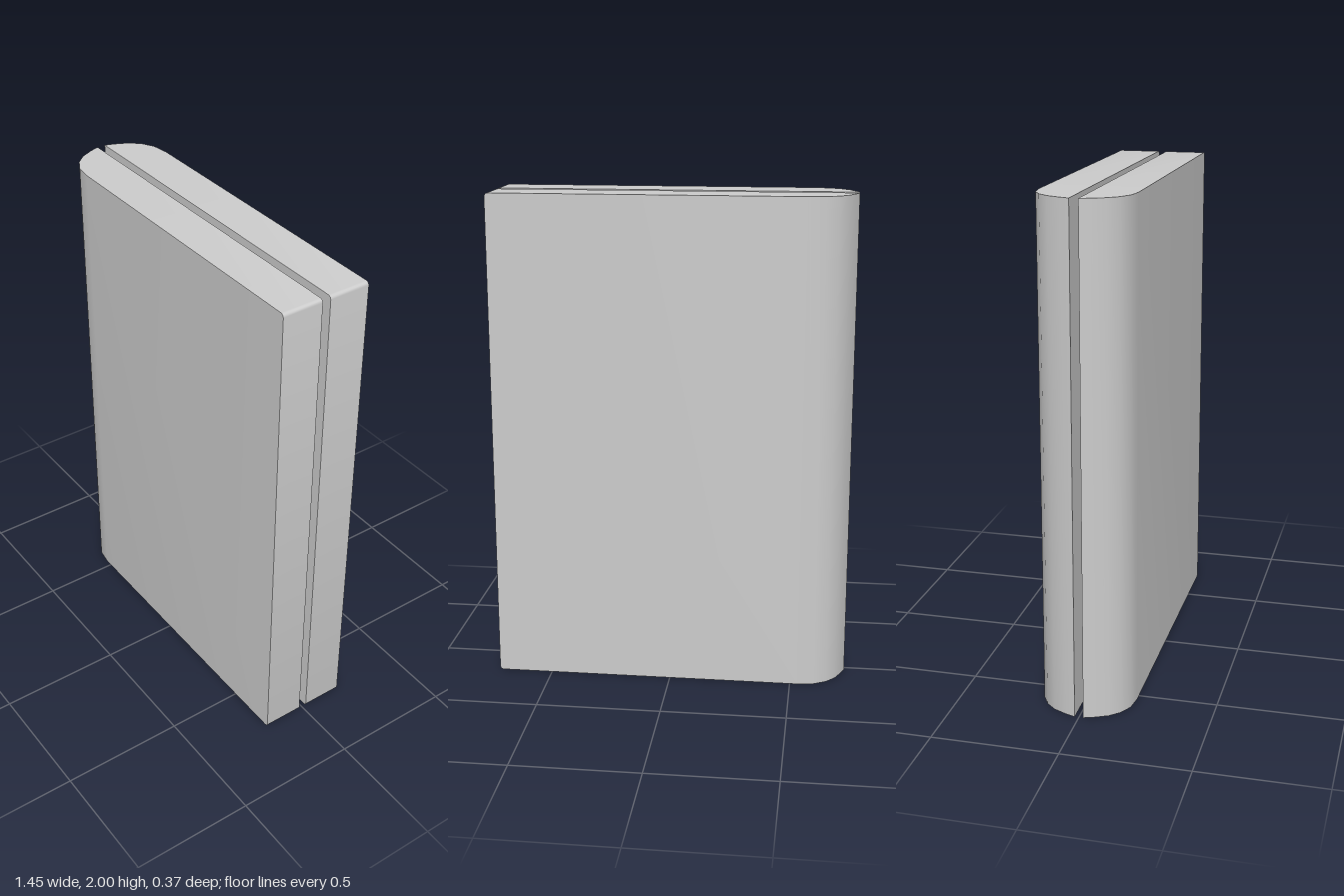
import * as THREE from 'three';
import { toCreasedNormals } from 'three/addons/utils/BufferGeometryUtils.js';

const HEIGHT = 2, HALF_WIDTH = 0.723, INNER = 0.017, OUTER = 0.185, CORNER = 0.014;

// Stations along x: [x, outer z, inset of top and bottom]
function slabStations() {
  // rounded spine edge
  const stations = [
    [-HALF_WIDTH, INNER, 0], [-0.71, 0.055, 0], [-0.684, 0.109, 0],
    [-0.648, 0.148, 0], [-0.599, 0.175, 0], [-0.53, OUTER, 0],
  ];
  // small rounded corners at the opposite edge
  const steps = 4;
  for (let i = 0; i <= steps; i++) {
    const a = (i / steps) * Math.PI / 2;
    stations.push([
      HALF_WIDTH - CORNER + CORNER * Math.sin(a), OUTER, CORNER * (1 - Math.cos(a)),
    ]);
  }
  return stations;
}

// Joins a rectangular cross-section per station and caps the flat end
function slabGeometry() {
  const stations = slabStations();
  const positions = [], index = [];
  for (const [x, z, inset] of stations) {
    const top = HEIGHT - inset;
    positions.push(x, inset, INNER, x, top, INNER, x, top, z, x, inset, z);
  }
  for (let i = 0; i < stations.length - 1; i++) {
    for (let j = 0; j < 4; j++) {
      const a = i * 4 + j, b = i * 4 + (j + 1) % 4;
      index.push(a, b, b + 4, a, b + 4, a + 4);
    }
  }
  const e = (stations.length - 1) * 4;
  index.push(e, e + 1, e + 2, e, e + 2, e + 3);

  const geometry = new THREE.BufferGeometry();
  geometry.setAttribute('position', new THREE.Float32BufferAttribute(positions, 3));
  geometry.setIndex(index);
  return toCreasedNormals(geometry, 0.5);
}

export function createModel() {
  const model = new THREE.Group();
  const material = new THREE.MeshStandardMaterial({ color: 0xcccccc });
  const geometry = slabGeometry();

  const frontSlab = new THREE.Mesh(geometry, material);
  frontSlab.name = 'frontSlab';

  // The back slab is the front one turned half way round the x axis
  const backSlab = new THREE.Mesh(geometry, material);
  backSlab.name = 'backSlab';
  backSlab.rotation.x = Math.PI;
  backSlab.position.y = HEIGHT;

  model.add(frontSlab, backSlab);
  return model;
}
